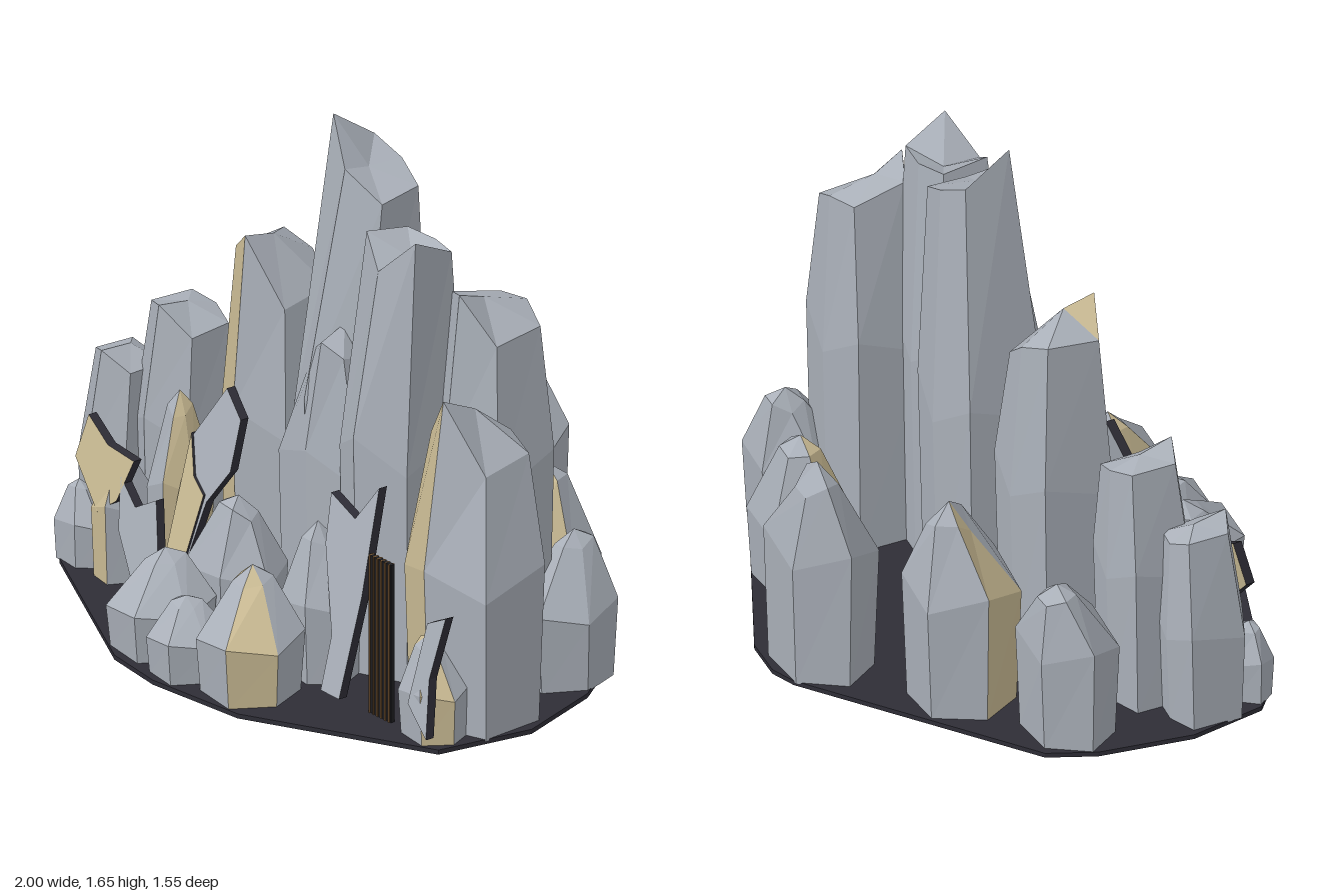
import * as THREE from 'three';

const make = (name, color) => {
  const m = new THREE.MeshStandardMaterial({ color, flatShading: true });
  m.name = name;
  return m;
};

export function createModel() {
  const group = new THREE.Group();
  group.name = 'rockFormation';
  const grey = make('grey stone', 0xaab0b9);
  const gold = make('sandy stone', 0xcabb94);
  const dark = make('dark ground', 0x2e2d36);
  const black = make('black metal', 0x1c1c20);
  const brown = make('brown metal', 0x6e4f2e);

  let seed = 7;
  const rnd = () => ((seed = (seed * 16807) % 2147483647) / 2147483647);

  const add = (name, geo, mat) => {
    const mesh = new THREE.Mesh(geo, mat);
    mesh.name = name;
    group.add(mesh);
    return mesh;
  };

  // Footprints run front, right, back, left
  const BLOCK = [[0, 1], [1, 0.55], [0.9, -0.8], [0, -1], [-0.9, -0.8], [-1, 0.55]];
  const HEX = [[0.5, 1], [1, 0.1], [0.6, -0.9], [-0.4, -1], [-1, -0.1], [-0.6, 0.85]];

  // Faceted rock: base ring, belly ring, crown ring and apex; goldCols are sandy columns
  function rock(name, foot, [cx, cz, rx, rz], bellyY, crown, heights, apex, goldCols = []) {
    const [tx, tz, sx, sz] = crown;
    const n = foot.length;
    const rings = [
      foot.map(([x, z]) => [cx + x * rx * 0.94, 0.01, cz + z * rz * 0.9]),
      foot.map(([x, z], i) => [cx + x * rx, bellyY * (i % 2 ? 0.93 : 1.06), cz + z * rz]),
      foot.map(([x, z], i) => [tx + x * sx, heights[i], tz + z * sz]),
    ];
    const faces = [[], []];
    for (let i = 0; i < n; i++) {
      const j = (i + 1) % n;
      const out = faces[goldCols.includes(i) ? 1 : 0];
      for (let r = 0; r < 2; r++) {
        const [a, b, c, d] = [rings[r][i], rings[r][j], rings[r + 1][j], rings[r + 1][i]];
        out.push(...a, ...b, ...c, ...a, ...c, ...d);
      }
      out.push(...rings[2][i], ...rings[2][j], ...apex);
    }
    const geo = new THREE.BufferGeometry();
    geo.setAttribute('position', new THREE.Float32BufferAttribute([...faces[0], ...faces[1]], 3));
    geo.addGroup(0, faces[0].length / 3, 0);
    geo.addGroup(faces[0].length / 3, faces[1].length / 3, 1);
    geo.computeVertexNormals();
    add(name, geo, [grey, gold]);
  }

  // Ground slab
  const outline = [[0, -0.78], [-0.09, -0.76], [-0.85, -0.34], [-0.93, -0.2], [-1, 0.1], [-0.97, 0.36],
    [-0.9, 0.43], [-0.22, 0.75], [0, 0.775], [0.36, 0.73], [0.95, 0.42], [1, 0.1], [0.89, -0.2],
    [0.75, -0.39], [0.15, -0.75]];
  const groundShape = new THREE.Shape(outline.map(([x, z]) => new THREE.Vector2(x, z)));
  const ground = new THREE.ExtrudeGeometry(groundShape, { depth: 0.015, bevelEnabled: false });
  ground.rotateX(Math.PI / 2).translate(0, 0.015, 0);
  add('ground', ground, dark);

  // Tall pillars
  rock('centralPillar', BLOCK, [0.01, 0, 0.165, 0.2], 0.75, [0.03, -0.05, 0.12, 0.11],
    [1.52, 1.43, 1.45, 1.5, 1.55, 1.65], [0.02, 1.5, -0.04]);
  rock('centralButtress', BLOCK, [0.04, 0.1, 0.2, 0.12], 0.6, [0.08, 0.12, 0.07, 0.07],
    [1.0, 0.96, 0.94, 0.97, 0.95, 0.95], [0.08, 1.04, 0.1]);
  rock('rightCentrePillar', BLOCK, [0.34, 0.1, 0.165, 0.17], 0.75, [0.36, 0.08, 0.12, 0.11],
    [1.33, 1.45, 1.38, 1.38, 1.39, 1.41], [0.36, 1.34, 0.06]);
  rock('leftCentrePillar', BLOCK, [-0.31, 0.05, 0.16, 0.175], 0.62, [-0.32, 0.04, 0.12, 0.13],
    [1.21, 0.99, 1.02, 1.1, 1.14, 1.12], [-0.32, 1.19, 0.06], [5]);
  rock('rightRearPillar', BLOCK, [0.57, -0.07, 0.165, 0.17], 0.72, [0.58, -0.08, 0.11, 0.13],
    [1.29, 1.14, 1.16, 1.21, 1.21, 1.25], [0.56, 1.25, -0.06]);
  rock('rightPillar', BLOCK, [0.79, 0.17, 0.2, 0.18], 0.5, [0.77, 0.13, 0.135, 0.13],
    [1.06, 0.84, 0.87, 0.9, 0.9, 0.9], [0.76, 1.0, 0.13], [5]);
  rock('leftPillar', BLOCK, [-0.69, 0.125, 0.135, 0.145], 0.48, [-0.68, 0.11, 0.1, 0.11],
    [0.87, 0.78, 0.79, 0.82, 0.84, 0.84], [-0.69, 0.85, 0.1]);
  rock('farLeftPillar', BLOCK, [-0.88, 0.21, 0.115, 0.135], 0.32, [-0.86, 0.2, 0.085, 0.1],
    [0.68, 0.62, 0.62, 0.62, 0.65, 0.65], [-0.87, 0.67, 0.18]);

  // Smaller crystals: x, z, half width, half depth, shoulder, height, peak offset x and z, sandy columns
  const crystals = [
    ['backCrystal', -0.03, -0.62, 0.19, 0.155, 0.45, 0.76, -0.05, -0.05],
    ['backRightCrystal', 0.41, -0.41, 0.17, 0.155, 0.24, 0.54, -0.03, -0.03, [0, 4]],
    ['backLeftCrystal', -0.43, -0.37, 0.175, 0.17, 0.42, 0.72, 0, -0.05, [0, 4]],
    ['sideRightCrystal', 0.74, -0.23, 0.14, 0.155, 0.25, 0.48, -0.02, -0.05],
    ['sideLeftCrystal', -0.76, -0.2, 0.17, 0.14, 0.34, 0.56, -0.03, -0.06],
    ['frontLeftCrystal', -0.2, 0.59, 0.155, 0.16, 0.16, 0.31, -0.04, -0.05],
    ['frontCrystal', 0.01, 0.65, 0.12, 0.12, 0.14, 0.25, -0.03, -0.02],
    ['frontRightCrystal', 0.24, 0.59, 0.16, 0.155, 0.2, 0.4, -0.05, -0.05, [0, 4]],
    ['innerLeftCrystal', -0.18, 0.32, 0.19, 0.13, 0.22, 0.45, 0.02, 0],
    ['innerRightCrystal', 0.25, 0.32, 0.14, 0.12, 0.26, 0.5, -0.02, 0, [4]],
    ['cornerRightCrystal', 0.84, 0.35, 0.115, 0.1, 0.17, 0.33, -0.03, 0, [0, 4]],
    ['cornerLeftCrystal', -0.86, 0.37, 0.105, 0.075, 0.15, 0.27, -0.02, 0],
    ['sandyLeftCrystal', -0.69, 0.35, 0.08, 0.1, 0.26, 0.42, 0, 0, [4, 5]],
    ['sandyInnerCrystal', -0.5, 0.28, 0.09, 0.1, 0.38, 0.67, 0, 0, [0, 1]],
  ];
  for (const [name, x, z, rx, rz, shoulder, h, px, pz, cols] of crystals) {
    const heights = HEX.map(() => h * (0.85 + 0.1 * rnd()));
    rock(name, HEX, [x, z, rx, rz], shoulder, [x + px, z + pz, rx * 0.36, rz * 0.38],
      heights, [x + px, h, z + pz], cols);
  }

  // Thin broken shards leaning back, with dark edges
  function shard(name, pts, z0, lean, face) {
    const shape = new THREE.Shape(pts.map(([x, y]) => new THREE.Vector2(x, y)));
    const geo = new THREE.ExtrudeGeometry(shape, { depth: 0.03, bevelEnabled: false });
    const p = geo.attributes.position;
    for (let i = 0; i < p.count; i++) p.setZ(i, p.getZ(i) + z0 - lean * p.getY(i));
    geo.computeVertexNormals();
    add(name, geo, [face, dark]);
  }
  shard('rightShard', [[0.4, 0.03], [0.49, 0.03], [0.5, 0.35], [0.48, 0.68], [0.4, 0.56], [0.27, 0.6],
    [0.29, 0.45], [0.4, 0.2]], 0.42, 0.25, grey);
  shard('leftShard', [[-0.36, 0.05], [-0.3, 0.38], [-0.22, 0.5], [-0.22, 0.66], [-0.31, 0.73],
    [-0.42, 0.55], [-0.37, 0.4]], 0.4, 0.25, grey);
  shard('leftShardSandyEdge', [[-0.43, 0.03], [-0.36, 0.03], [-0.31, 0.4], [-0.37, 0.44], [-0.42, 0.56]],
    0.408, 0.25, gold);
  shard('brokenShard', [[-0.62, 0.38], [-0.59, 0.22], [-0.5, 0.1], [-0.39, 0.2], [-0.44, 0.36],
    [-0.53, 0.31]], 0.46, 0.2, grey);
  shard('sandyShard', [[-0.84, 0.37], [-0.7, 0.24], [-0.62, 0.3], [-0.57, 0.44], [-0.7, 0.45],
    [-0.81, 0.51]], 0.46, 0.2, gold);
  shard('cornerShard', [[0.84, 0.14], [0.95, 0.06], [0.92, 0.24], [0.95, 0.44], [0.87, 0.4]],
    0.45, 0.2, grey);

  // Upright grille with brown bars on both faces
  add('grillePanel', new THREE.BoxGeometry(0.11, 0.52, 0.014).translate(0.645, 0.275, 0.4), black);
  for (let i = 0; i < 6; i++) {
    add('grilleBar', new THREE.BoxGeometry(0.007, 0.52, 0.02).translate(0.597 + i * 0.019, 0.275, 0.4), brown);
  }
  return group;
}
